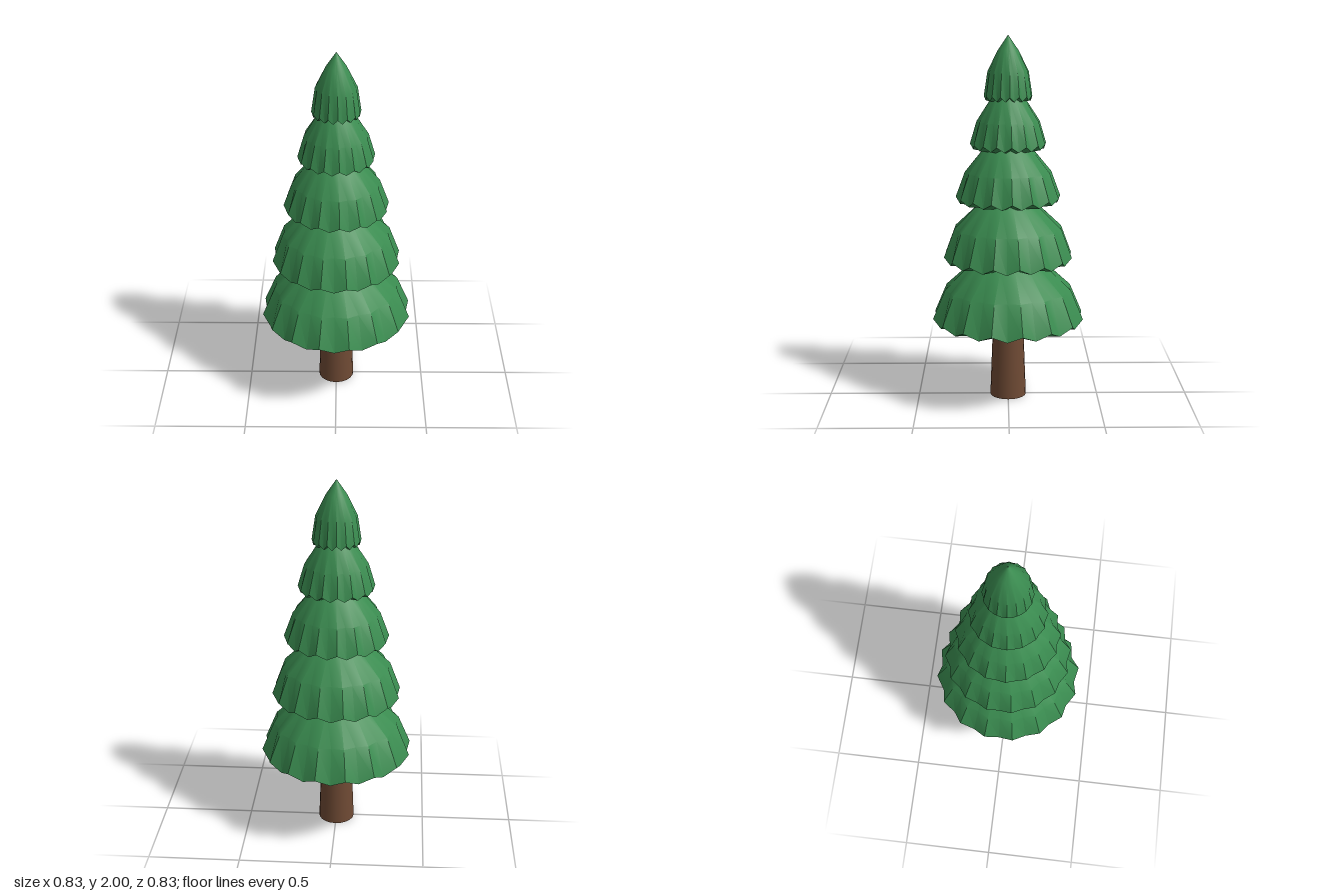
import * as THREE from 'three';
import { toCreasedNormals } from 'three/addons/utils/BufferGeometryUtils.js';

const TIPS = 16;
const SEGMENTS = TIPS * 2;

// Each tier: underside centre height, rings [radius, height] and apex height.
// The first ring is the scalloped rim, the last one is round.
const TIERS = [
  { base: 0.34, rings: [[0.42, 0.46], [0.352, 0.62], [0.2, 0.76]], apex: 0.9, phase: 12.4 },
  { base: 0.72, rings: [[0.355, 0.805], [0.297, 0.96], [0.165, 1.085]], apex: 1.22, phase: 13 },
  { base: 1.06, rings: [[0.285, 1.135], [0.235, 1.27], [0.14, 1.385]], apex: 1.52, phase: 18.5 },
  { base: 1.36, rings: [[0.206, 1.425], [0.17, 1.545], [0.095, 1.66]], apex: 1.78, phase: 17.5 },
  { base: 1.65, rings: [[0.13, 1.68], [0.11, 1.81], [0.055, 1.92]], apex: 2, phase: 18.5 },
];
const VALLEY_SCALE = [0.94, 0.955, 1];

function tierGeometry({ base, rings, apex, phase }) {
  const positions = [0, base, 0];
  const index = [];
  const drop = 0.02 + rings[0][0] * 0.035;

  // Rings alternate between tips and slightly lower, narrower valleys
  rings.forEach(([radius, y], level) => {
    for (let k = 0; k < SEGMENTS; k++) {
      const valley = k % 2 === 1;
      const a = THREE.MathUtils.degToRad(phase) + (k / SEGMENTS) * Math.PI * 2;
      const r = valley ? radius * VALLEY_SCALE[level] : radius;
      const h = valley && level === 0 ? y - drop : y;
      positions.push(r * Math.cos(a), h, r * Math.sin(a));
    }
  });
  positions.push(0, apex, 0);

  const top = positions.length / 3 - 1;
  const at = (level, k) => 1 + level * SEGMENTS + (k % SEGMENTS);
  const last = rings.length - 1;
  for (let k = 0; k < SEGMENTS; k++) {
    index.push(0, at(0, k), at(0, k + 1));
    for (let i = 0; i < last; i++) {
      const a = at(i, k), b = at(i, k + 1), c = at(i + 1, k + 1), d = at(i + 1, k);
      index.push(a, d, c, a, c, b);
    }
    index.push(at(last, k), top, at(last, k + 1));
  }

  const geometry = new THREE.BufferGeometry();
  geometry.setAttribute('position', new THREE.Float32BufferAttribute(positions, 3));
  geometry.setIndex(index);
  return toCreasedNormals(geometry, THREE.MathUtils.degToRad(32));
}

export function createModel() {
  const group = new THREE.Group();
  group.name = 'pineTree';

  const green = new THREE.MeshStandardMaterial({ color: 0x3a8c50 });
  green.name = 'needleGreen';
  const brown = new THREE.MeshStandardMaterial({ color: 0x6f4a34 });
  brown.name = 'barkBrown';

  // Tapered trunk, running a little way into the lowest tier
  const trunk = new THREE.Mesh(new THREE.CylinderGeometry(0.084, 0.1, 0.42, 20), brown);
  trunk.name = 'trunk';
  trunk.position.y = 0.21;
  group.add(trunk);

  // Stacked foliage tiers
  TIERS.forEach((tier, i) => {
    const mesh = new THREE.Mesh(tierGeometry(tier), green);
    mesh.name = `foliageTier${i + 1}`;
    group.add(mesh);
  });

  return group;
}
